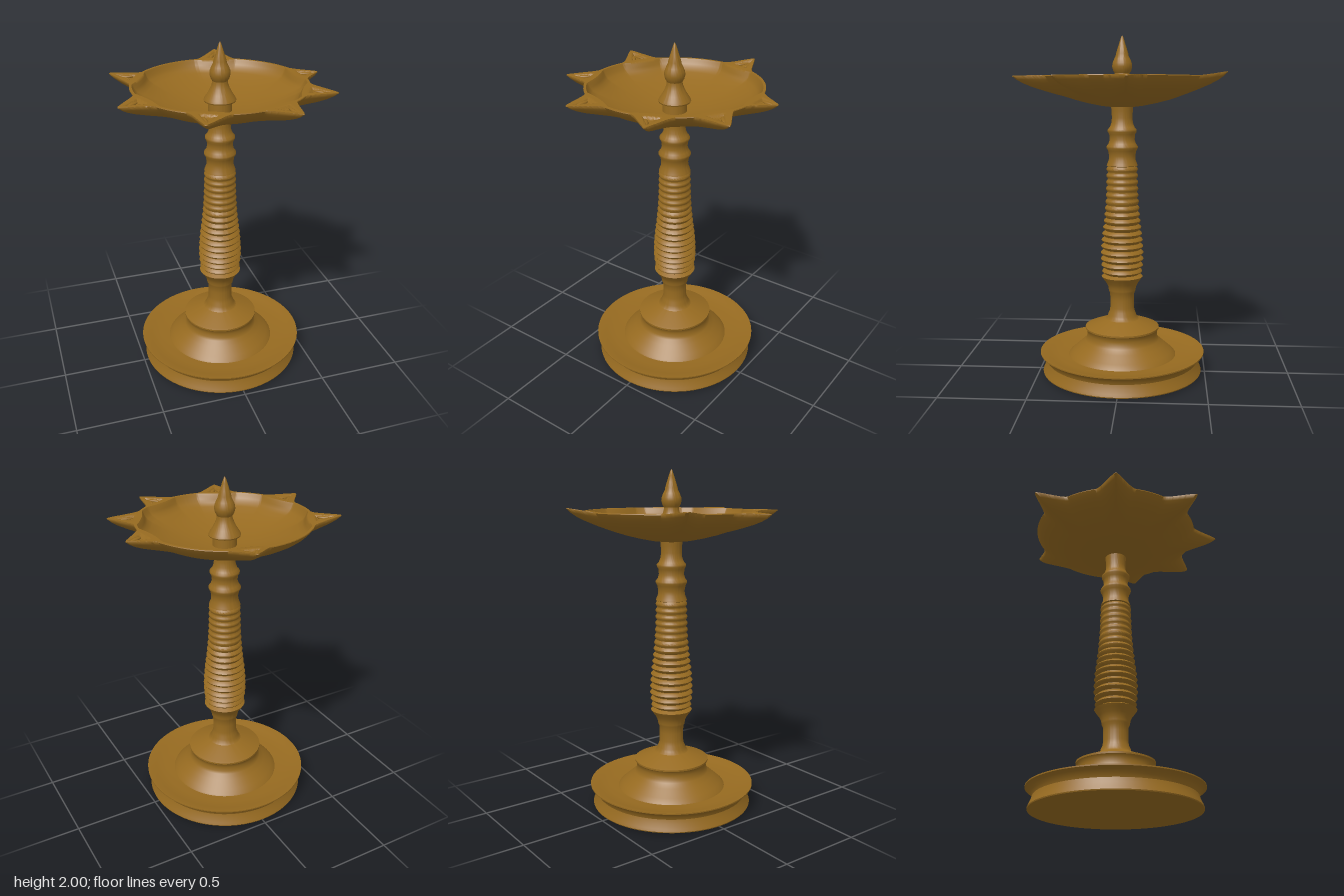
import * as THREE from 'three';
import { toCreasedNormals } from 'three/addons/utils/BufferGeometryUtils.js';

const brass = new THREE.MeshStandardMaterial({ color: 0x966a20 });
brass.name = 'aged brass';

const clamp01 = (v) => Math.min(1, Math.max(0, v));
const smooth = (v) => { const t = clamp01(v); return t * t * (3 - 2 * t); };

function part(name, geometry, crease = 0.6) {
  const mesh = new THREE.Mesh(toCreasedNormals(geometry, crease), brass);
  mesh.name = name;
  return mesh;
}

function turned(name, profile, crease) {
  const points = profile.map(([r, y]) => new THREE.Vector2(r, y));
  return part(name, new THREE.LatheGeometry(points, 72), crease);
}

// Spout tips: x, z and how far the tip is lifted above the rim
const spouts = [
  [0.15, -0.59, 0.025], [-0.55, -0.31, 0.02], [0.602, -0.06, -0.005], [-0.602, 0.205, -0.005],
  [0.555, 0.325, -0.005], [-0.255, 0.588, 0], [0.245, 0.588, 0],
].map(([x, z, lift]) => ({ angle: Math.atan2(x, z), length: Math.hypot(x, z) - 0.481, lift }));

// Offset of an angle from the nearest spout
function nearestSpout(phi) {
  let best = null;
  for (const s of spouts) {
    const d = Math.atan2(Math.sin(phi - s.angle), Math.cos(phi - s.angle));
    if (!best || Math.abs(d) < Math.abs(best.d)) best = { ...s, d };
  }
  return best;
}

// Shallow dish whose rim is drawn out into pointed spouts
function dishGeometry() {
  const under = [[0, 1.59], [0.06, 1.592], [0.12, 1.599], [0.2, 1.615], [0.27, 1.633], [0.32, 1.649],
    [0.36, 1.665], [0.4, 1.684], [0.44, 1.707], [0.465, 1.726], [0.483, 1.745], [0.495, 1.763]];
  const inside = [[0.474, 1.757], [0.465, 1.738], [0.45, 1.72], [0.42, 1.703], [0.36, 1.678],
    [0.3, 1.658], [0.2, 1.632], [0.1, 1.617], [0, 1.612]];
  const lipRings = 30, segments = 700;
  const total = under.length + lipRings + inside.length;
  const blank = Array.from({ length: total }, (_, i) => new THREE.Vector2(0.5, i));
  const geometry = new THREE.LatheGeometry(blank, segments);
  const pos = geometry.attributes.position;

  for (let i = 0; i <= segments; i++) {
    const phi = (i % segments) / segments * Math.PI * 2;
    const s = nearestSpout(phi);
    const f = Math.pow(1 - clamp01(Math.hypot(s.d / 0.24, 0.045)), 1.55);
    const chord = 1 - clamp01(Math.abs(s.d) / 0.25) ** 2;
    const rim = 0.495 + s.length * f;
    const inner = 0.48 - 0.026 * chord;
    for (let j = 0; j < total; j++) {
      let r, y;
      if (j < under.length) {
        [r, y] = under[j];
        const k = Math.pow(clamp01((r - 0.3) / 0.195), 1.3);
        r += s.length * f * k;
        y += s.lift * f * k;
      } else if (j < under.length + lipRings) {
        // lip and spout top, with a sunken leaf-shaped pocket
        const t = (j - under.length) / (lipRings - 1);
        r = rim + (inner - rim) * t - (j === under.length ? 0.002 : 0);
        y = 1.768 + s.lift * f * (1 - t);
        const u = r * Math.cos(s.d), v = Math.abs(r * Math.sin(s.d));
        const halfWidth = 0.056 * (1 - (u - 0.49) / 0.125);
        y -= 0.015 * smooth(Math.min((u - 0.49) / 0.018, (halfWidth - v) / 0.018));
      } else {
        [r, y] = inside[j - under.length - lipRings];
        r -= 0.03 * chord * Math.pow(r / 0.48, 6);
      }
      pos.setXYZ(i * total + j, r * Math.sin(phi), y, r * Math.cos(phi));
    }
  }
  return geometry;
}

// Stem: plain mouldings with a stack of ridges in the middle
function stemProfile() {
  const profile = [[0.21, 0.284], [0.15, 0.305], [0.1, 0.327], [0.087, 0.343], [0.084, 0.355], [0.075, 0.375],
    [0.071, 0.4], [0.071, 0.45], [0.073, 0.485], [0.079, 0.497], [0.081, 0.508], [0.084, 0.525],
    [0.096, 0.55], [0.113, 0.573], [0.123, 0.588]];
  const swell = new THREE.CatmullRomCurve3([[0.118, 0.6], [0.128, 0.7], [0.122, 0.82], [0.109, 0.93],
    [0.098, 1.06], [0.092, 1.25]].map(([r, y]) => new THREE.Vector3(r, y, 0)));
  const ridges = 17;
  for (let i = 0; i < ridges; i++) {
    const depth = 0.02 - 0.01 * smooth((i - 5) / 6);
    for (const [k, cut] of [[0.04, 1], [0.3, 0.25], [0.5, 0], [0.7, 0.25], [0.96, 1]]) {
      const p = swell.getPointAt((i + k) / ridges);
      profile.push([p.x - depth * cut, p.y]);
    }
  }
  profile.push([0.091, 1.252], [0.088, 1.262], [0.079, 1.285], [0.077, 1.31], [0.083, 1.34], [0.092, 1.355],
    [0.092, 1.365], [0.08, 1.38], [0.073, 1.405], [0.076, 1.435], [0.085, 1.45], [0.085, 1.462],
    [0.073, 1.475], [0.063, 1.5], [0.06, 1.53], [0.062, 1.57], [0.066, 1.605]);
  return profile;
}

export function createModel() {
  const lamp = new THREE.Group();
  lamp.name = 'oilLamp';

  // Flared tray base with a very slightly bellied bottom
  lamp.add(turned('base', [[0, 0], [0.21, 0.002], [0.476, 0.01], [0.478, 0.016], [0.472, 0.03],
    [0.46, 0.055], [0.453, 0.08], [0.46, 0.1], [0.475, 0.116], [0.493, 0.128], [0.493, 0.135],
    [0.48, 0.134], [0.44, 0.122], [0.38, 0.112], [0.3, 0.108]]));

  // Stepped plinth
  lamp.add(turned('plinth', [[0.325, 0.106], [0.318, 0.116], [0.295, 0.136], [0.25, 0.175], [0.222, 0.2],
    [0.213, 0.215], [0.21, 0.24], [0.214, 0.262], [0.221, 0.27], [0.221, 0.28], [0.21, 0.285], [0.1, 0.327]]));

  lamp.add(turned('stem', stemProfile(), 0.75));
  lamp.add(part('dish', dishGeometry(), 0.95));

  // Twin raised lobes in the pocket of each spout
  spouts.forEach(({ angle, lift }) => {
    const leaf = new THREE.Group();
    leaf.name = 'spoutLeaf';
    leaf.rotation.y = angle;
    for (const side of [-1, 1]) {
      const lobe = part('lobe', new THREE.SphereGeometry(1, 14, 10), 1);
      lobe.scale.set(0.012, 0.009, 0.042);
      lobe.position.set(side * 0.018, 1.755 + lift * 0.45, 0.543);
      lobe.rotation.y = -side * 0.33;
      leaf.add(lobe);
    }
    lamp.add(leaf);
  });

  // Finial: stem, bell, bulb and pointed tip
  lamp.add(turned('finial', [[0.068, 1.605], [0.066, 1.668], [0.088, 1.67], [0.091, 1.677], [0.085, 1.69],
    [0.068, 1.716], [0.053, 1.745], [0.044, 1.77], [0.043, 1.785], [0.052, 1.8], [0.058, 1.822], [0.056, 1.842],
    [0.047, 1.865], [0.038, 1.883], [0.036, 1.895], [0.027, 1.925], [0.015, 1.963], [0.006, 1.99], [0, 2]]));

  return lamp;
}
